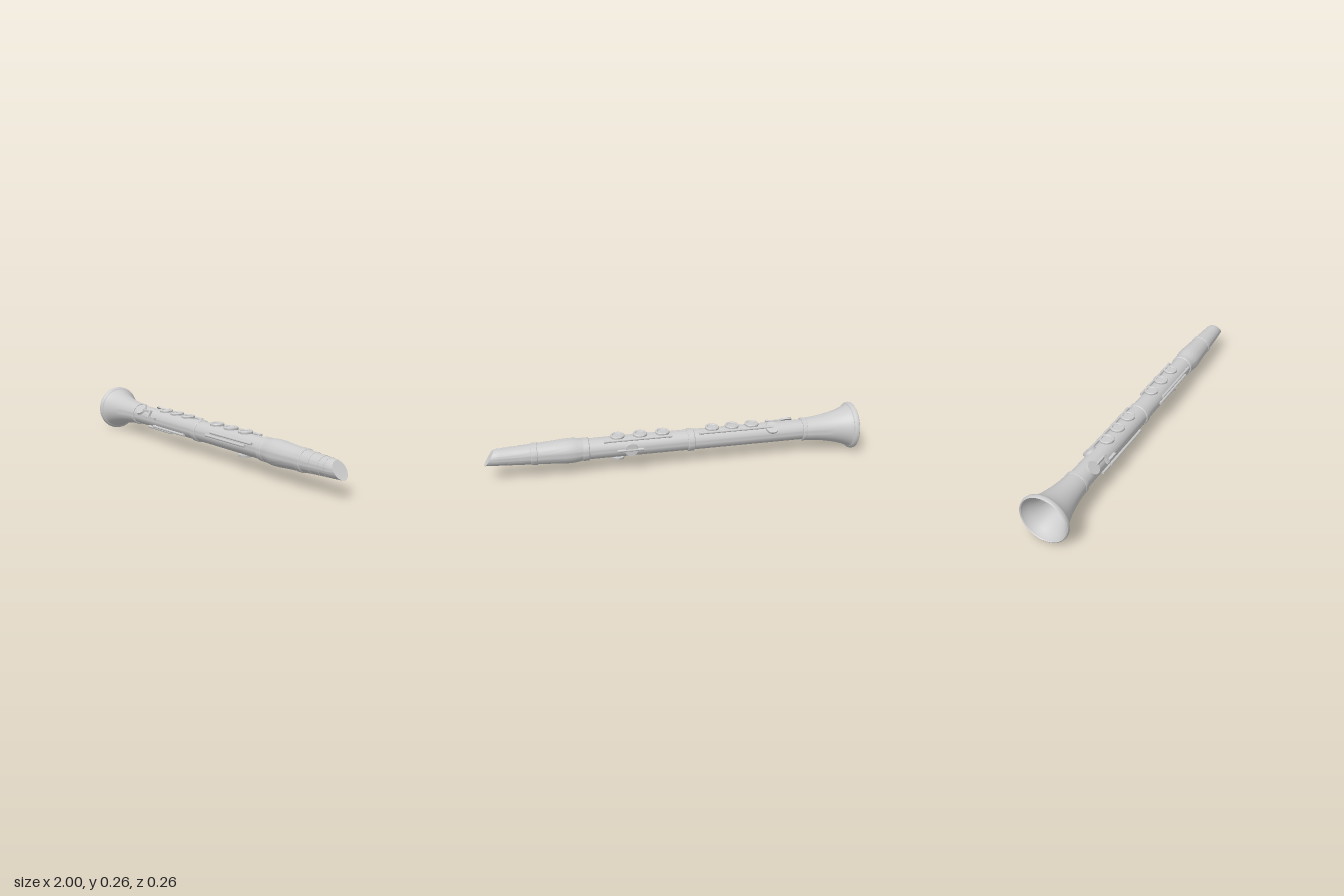
import * as THREE from 'three';
import { toCreasedNormals } from 'three/addons/utils/BufferGeometryUtils.js';

const AXIS = 0.128; // height of the instrument's centre line

export function createModel() {
  const root = new THREE.Group();
  const body = new THREE.Group();
  body.name = 'clarinet';
  body.position.y = AXIS;
  root.add(body);
  const mat = new THREE.MeshStandardMaterial({ color: 0xcccccc });

  const add = (name, geo, parent = body) => {
    const m = new THREE.Mesh(geo, mat);
    m.name = name;
    parent.add(m);
    return m;
  };

  // Turned part: [x along the instrument, radius], running towards +x on the outside
  const turn = (pts) => new THREE.LatheGeometry(pts.map(([x, r]) => new THREE.Vector2(r, x)), 48).rotateZ(-Math.PI / 2);
  const turned = (name, pts) => add(name, toCreasedNormals(turn(pts), 0.5));

  // Bell: hollow inside, rounded rim, flared outside
  turned('bell', [
    [-0.74, 0], [-0.74, 0.04], [-0.8, 0.047], [-0.87, 0.062], [-0.92, 0.08], [-0.96, 0.1], [-0.985, 0.115],
    [-0.996, 0.117], [-1, 0.121], [-0.996, 0.126], [-0.987, 0.128], [-0.978, 0.126], [-0.972, 0.121], [-0.97, 0.116],
    [-0.95, 0.105], [-0.92, 0.094], [-0.88, 0.083], [-0.83, 0.073], [-0.78, 0.066], [-0.72, 0.061], [-0.72, 0],
  ]);

  // Joints
  turned('lowerJoint', [[-0.72, 0], [-0.72, 0.055], [-0.09, 0.055], [-0.09, 0]]);
  turned('upperJoint', [[-0.09, 0], [-0.09, 0.055], [0.47, 0.055], [0.47, 0]]);
  turned('barrel', [
    [0.48, 0], [0.48, 0.057], [0.5, 0.059], [0.53, 0.064], [0.555, 0.066], [0.59, 0.065], [0.65, 0.06], [0.74, 0.055], [0.74, 0],
  ]);

  // Joint rings
  for (const [x, w, r] of [[-0.715, 0.026, 0.063], [-0.08, 0.036, 0.061], [0.478, 0.036, 0.061], [0.743, 0.036, 0.058]]) {
    const a = x - w / 2, b = x + w / 2, c = 0.004;
    turned('jointRing', [[a, 0], [a, r - c], [a + c, r], [b - c, r], [b, r - c], [b, 0]]);
  }

  // Mouthpiece with an oblique, slightly hollow cut at the tip
  const tip = turn([
    [0.75, 0], [0.75, 0.053], [0.82, 0.051], [0.82, 0.0495], [0.877, 0.0475], [0.877, 0.046],
    [0.912, 0.0455], [0.912, 0.0445], [0.93, 0.044], [0.995, 0.04], [0.995, 0.03], [0.995, 0.02], [0.995, 0.01], [0.995, 0],
  ]);
  const p = tip.attributes.position;
  for (let i = 0; i < p.count; i++) {
    if (p.getX(i) > 0.99) {
      const t = (p.getY(i) + 0.04) / 0.08;
      p.setX(i, 1 - 0.055 * Math.pow(Math.max(t, 0), 0.85));
    }
  }
  add('mouthpiece', toCreasedNormals(tip, 0.5));

  // Place a group on the tube: angle 0 is the top, positive turns to the front (+z)
  const station = (name, x, angle) => {
    const g = new THREE.Group();
    g.name = name;
    g.position.x = x;
    g.rotation.x = angle;
    body.add(g);
    return g;
  };

  // Ring keys over the six finger holes
  for (const x of [-0.42, -0.31, -0.2, 0.07, 0.19, 0.31]) {
    const g = station('ringKey', x, 0);
    const ring = [[0.024, 0.054], [0.037, 0.054], [0.038, 0.063], [0.035, 0.067], [0.027, 0.067], [0.024, 0.063], [0.024, 0.054]];
    add('ring', toCreasedNormals(new THREE.LatheGeometry(ring.map(([r, y]) => new THREE.Vector2(r, y)), 32), 0.6), g);
    add('holeCover', new THREE.CylinderGeometry(0.025, 0.025, 0.016, 32).translate(0, 0.054, 0), g);
  }

  // Round pads
  for (const [name, x, angle] of [
    ['frontPad', -0.627, Math.PI / 4], ['backPad', -0.525, -Math.PI / 4.4],
    ['thumbPad', 0.31, Math.PI], ['registerPad', 0.245, -Math.PI / 2],
  ]) {
    const g = station(name, x, angle);
    add('padCup', new THREE.CylinderGeometry(0.034, 0.036, 0.012, 32).translate(0, 0.06, 0), g);
    add('padStem', new THREE.CylinderGeometry(0.018, 0.018, 0.02, 20).translate(0, 0.05, 0), g);
  }

  // Hinge rods with small posts down to the tube: start x, end x, height and depth from the axis
  for (const [name, x0, x1, y, z] of [
    ['lowerBackRod', -0.53, -0.12, 0.05, -0.04],
    ['upperBackRod', 0.025, 0.385, 0.05, -0.04],
    ['upperFrontRod', 0.09, 0.43, 0.026, 0.059],
    ['upperFrontLever', 0.055, 0.38, 0.006, 0.062],
    ['lowerFrontRod', -0.48, -0.165, -0.034, 0.053],
    ['lowerFrontLever', -0.545, -0.3, -0.046, 0.044],
    ['registerRod', 0.18, 0.32, 0.0, -0.062],
  ]) {
    const len = x1 - x0, r = Math.hypot(y, z);
    const g = station(name, (x0 + x1) / 2, Math.atan2(z, y));
    add('rod', new THREE.CylinderGeometry(0.007, 0.007, len, 14).rotateZ(Math.PI / 2).translate(0, r, 0), g);
    for (const s of [-1, 1]) {
      add('post', new THREE.CylinderGeometry(0.005, 0.006, 0.018, 10).translate(s * (len / 2 - 0.015), r - 0.008, 0), g);
    }
  }

  // Cranked lever behind the front pad
  const lever = station('crankedLever', 0, 0);
  add('leverArm', new THREE.BoxGeometry(0.09, 0.012, 0.012).translate(-0.565, 0.042, 0.043), lever);
  add('leverCrank', new THREE.BoxGeometry(0.016, 0.045, 0.014).rotateX(-0.5).translate(-0.523, 0.03, 0.053), lever);
  add('leverFoot', new THREE.BoxGeometry(0.08, 0.014, 0.014).translate(-0.49, 0.012, 0.06), lever);

  return root;
}
